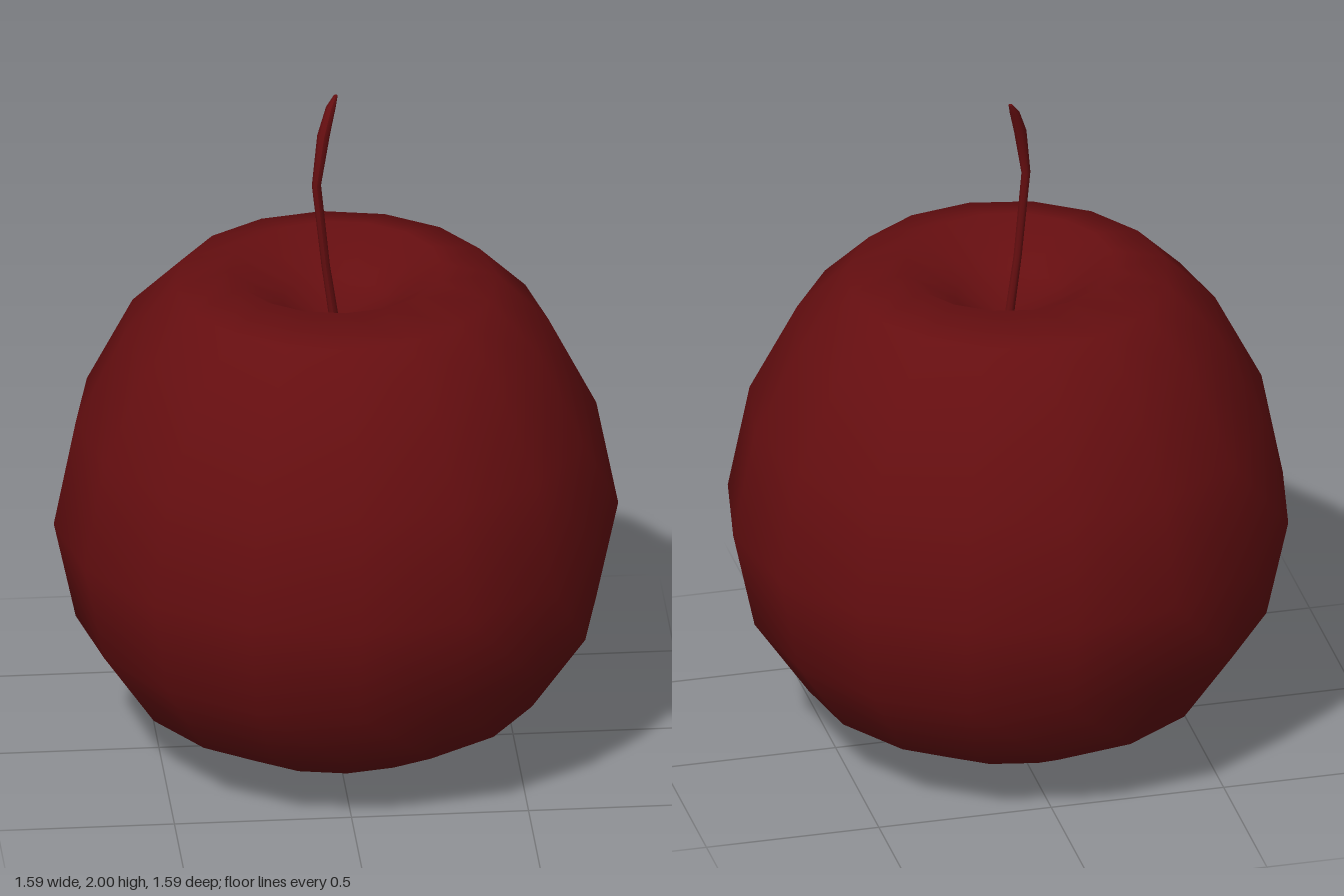
import * as THREE from 'three';

const skinRed = new THREE.MeshStandardMaterial({ color: 0x650e10 });
skinRed.name = 'deep red';

// Fruit body: profile from the bottom point, over the rim, down into the dimple
function makeFruit() {
  const profile = [
    [0, 0], [0.352, 0.066], [0.578, 0.19], [0.735, 0.42], [0.797, 0.71],
    [0.735, 1.025], [0.6, 1.29], [0.455, 1.435], [0.3, 1.477],
    [0.15, 1.375], [0, 1.3],
  ].map(([r, y]) => new THREE.Vector2(r, y));
  const geometry = new THREE.LatheGeometry(profile, 16);

  // Smooth shading across both poles
  const normal = geometry.attributes.normal;
  const rows = profile.length;
  for (let i = 0; i < normal.count; i++) {
    if (i % rows === 0) normal.setXYZ(i, 0, -1, 0);
    if (i % rows === rows - 1) normal.setXYZ(i, 0, 1, 0);
  }
  const mesh = new THREE.Mesh(geometry, skinRed);
  mesh.name = 'fruit';
  return mesh;
}

// Stem: cylinder rows moved onto a bent path, swelling near the tip
function makeStem() {
  // x, y, z, radius from tip to base
  const rows = [
    [0.002, 1.995, -0.038, 0.006],
    [-0.012, 1.965, -0.028, 0.014],
    [-0.035, 1.89, -0.002, 0.018],
    [-0.057, 1.745, 0.02, 0.013],
    [-0.03, 1.49, 0.008, 0.012],
    [0, 1.28, 0, 0.014],
  ];
  const sides = 8;
  const geometry = new THREE.CylinderGeometry(1, 1, 1, sides, rows.length - 1);
  const position = geometry.attributes.position;
  for (let i = 0; i < position.count; i++) {
    const row = Math.round((0.5 - position.getY(i)) * (rows.length - 1));
    const [x, y, z, r] = rows[row];
    position.setXYZ(i, x + position.getX(i) * r, y, z + position.getZ(i) * r);
  }
  position.needsUpdate = true;
  geometry.computeVertexNormals();
  const mesh = new THREE.Mesh(geometry, skinRed);
  mesh.name = 'stem';
  return mesh;
}

export function createModel() {
  const group = new THREE.Group();
  group.name = 'fruitWithStem';
  group.add(makeFruit(), makeStem());
  return group;
}
